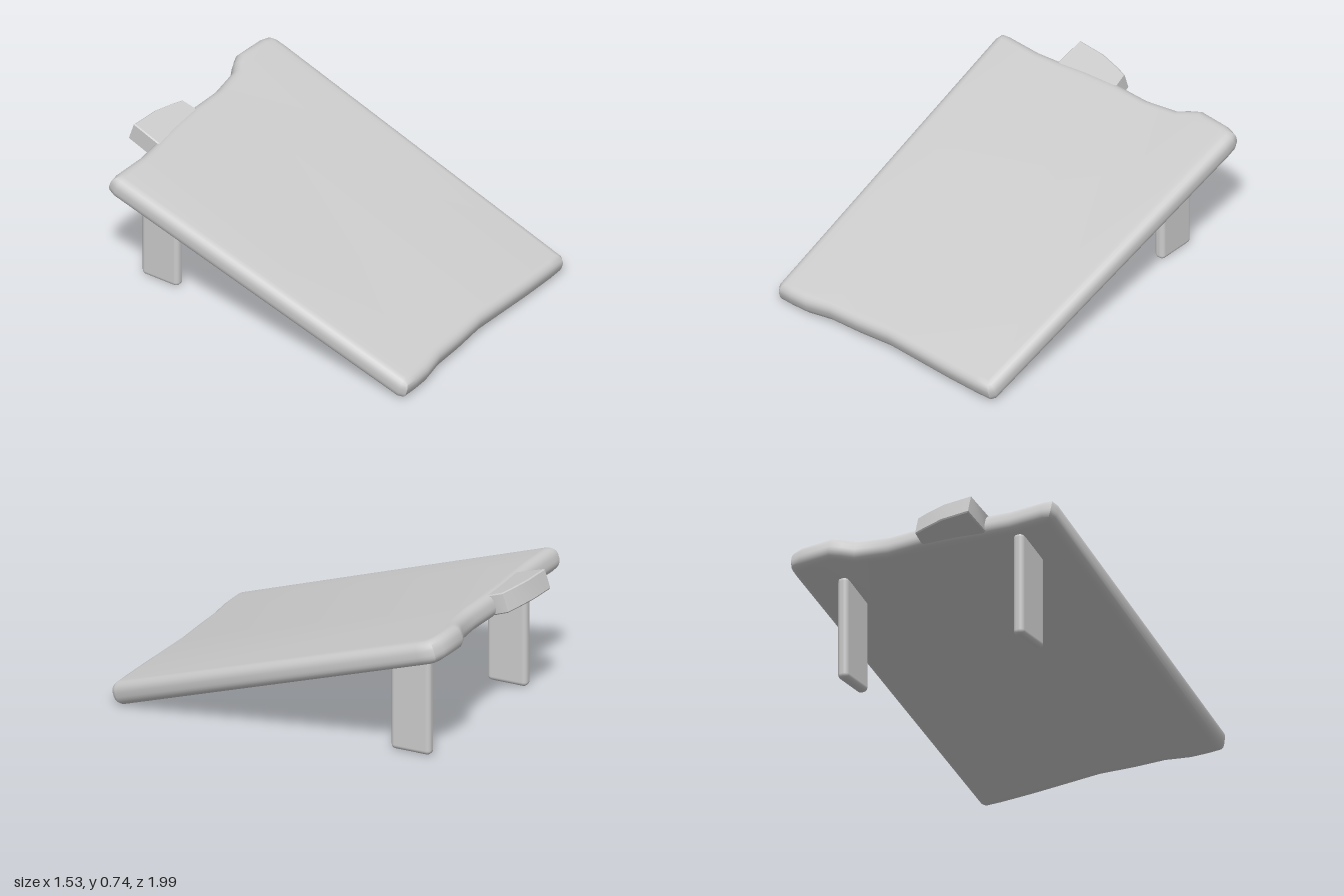
import * as THREE from 'three';
import { toCreasedNormals } from 'three/addons/utils/BufferGeometryUtils.js';
import { RoundedBoxGeometry } from 'three/addons/geometries/RoundedBoxGeometry.js';

const material = new THREE.MeshStandardMaterial({ color: 0xcccccc });

// Slab with rounded rim, centred on its thickness, outline kept at full size
function slab(name, points, thickness, bevel, segments) {
  const shape = new THREE.Shape(points.map(([x, y]) => new THREE.Vector2(x, y)));
  const geometry = new THREE.ExtrudeGeometry(shape, {
    depth: thickness - 2 * bevel,
    bevelThickness: bevel,
    bevelSize: bevel,
    bevelOffset: -bevel,
    bevelSegments: segments,
  });
  geometry.translate(0, 0, bevel - thickness / 2);
  const mesh = new THREE.Mesh(toCreasedNormals(geometry, 0.7), material);
  mesh.name = name;
  return mesh;
}

export function createModel() {
  const model = new THREE.Group();
  model.name = 'proppedBoard';

  // Sloping board: local y runs up the slope, local z is the upper face normal
  const board = new THREE.Group();
  board.name = 'board';
  board.position.y = 0.378;
  board.rotation.x = -Math.PI / 2 + 0.317;
  model.add(board);

  // Worn outline, wider at the raised end, with wavy short edges
  board.add(slab('panel', [
    [-0.722, -1.0], [-0.70, -1.035], [-0.62, -1.038], [-0.52, -1.036], [-0.38, -1.012],
    [-0.2, -1.008], [0, -0.995], [0.2, -1.005], [0.4, -1.015], [0.6, -1.02],
    [0.69, -1.018], [0.712, -0.99],
    [0.76, 0.87], [0.758, 0.925], [0.74, 0.963], [0.68, 0.983], [0.5, 0.995],
    [0.44, 0.968], [0.38, 0.933], [0.2, 0.908], [0, 0.915],
    [-0.2, 0.905], [-0.36, 0.887], [-0.5, 0.877], [-0.7, 0.886], [-0.752, 0.88], [-0.766, 0.835],
  ], 0.125, 0.05, 5));

  // Crisp tab left standing on the raised edge
  board.add(slab('tab', [
    [-0.33, 0.8], [-0.03, 0.8], [0, 0.9], [-0.008, 0.975], [-0.07, 0.995],
    [-0.19, 1.025], [-0.355, 1.036], [-0.365, 0.87],
  ], 0.11, 0.006, 1));

  // Pair of flat legs under the raised end
  for (const side of [-1, 1]) {
    const leg = new THREE.Mesh(new RoundedBoxGeometry(0.06, 0.57, 0.228, 4, 0.025), material);
    leg.name = side > 0 ? 'leftLeg' : 'rightLeg';
    leg.position.set(side * 0.52, 0.295, -0.672);
    model.add(leg);
  }
  return model;
}
